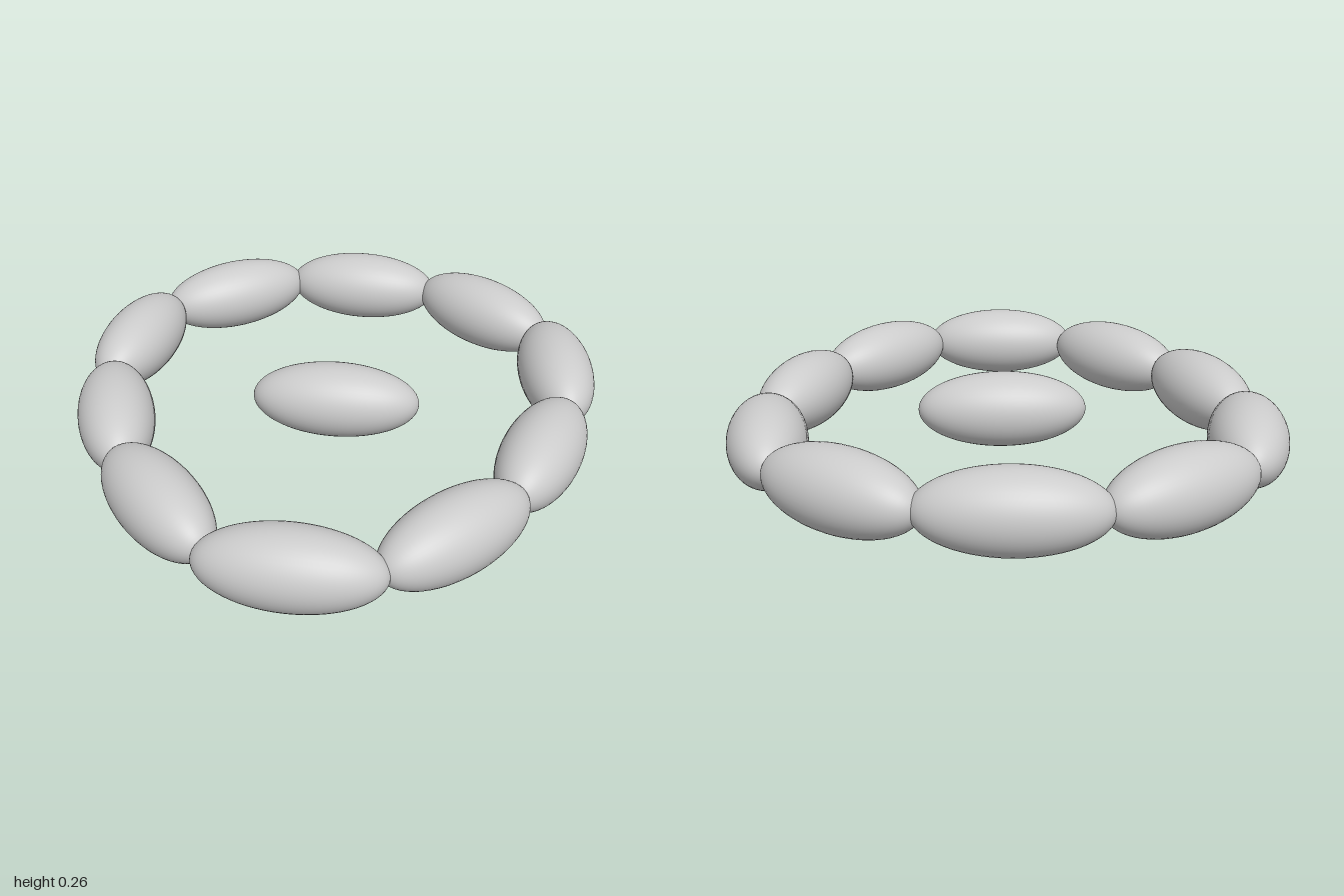
import * as THREE from 'three';

const LENGTH = 0.287; // half length of a bead
const RADIUS = 0.129; // half thickness of a bead

export function createModel() {
  const model = new THREE.Group();
  model.name = 'beadRing';
  const material = new THREE.MeshStandardMaterial({ color: 0xcccccc, roughness: 0.8 });

  // Smooth ellipsoid with its poles along x
  const bead = new THREE.SphereGeometry(1, 48, 32);
  bead.rotateZ(Math.PI / 2);
  bead.scale(LENGTH, RADIUS, RADIUS);

  const addBead = (name, x, z, degrees) => {
    const mesh = new THREE.Mesh(bead, material);
    mesh.name = name;
    mesh.position.set(x, RADIUS, z);
    mesh.rotation.y = THREE.MathUtils.degToRad(degrees);
    model.add(mesh);
  };

  // Ring of beads, clockwise from the back: x, z, turn in degrees
  const ring = [
    [0.005, -0.872, -3],
    [0.49, -0.709, -36],
    [0.76, -0.294, -82],
    [0.701, 0.22, 72],
    [0.442, 0.661, 46],
    [-0.014, 0.87, -1.5],
    [-0.46, 0.624, -48],
    [-0.717, 0.185, -71.5],
    [-0.77, -0.33, 80],
    [-0.49, -0.735, 33.5],
  ];
  ring.forEach(([x, z, turn], i) => addBead(`ringBead${i + 1}`, x, z, turn));

  // Single bead in the middle
  addBead('centreBead', 0.005, -0.009, 0);

  return model;
}
